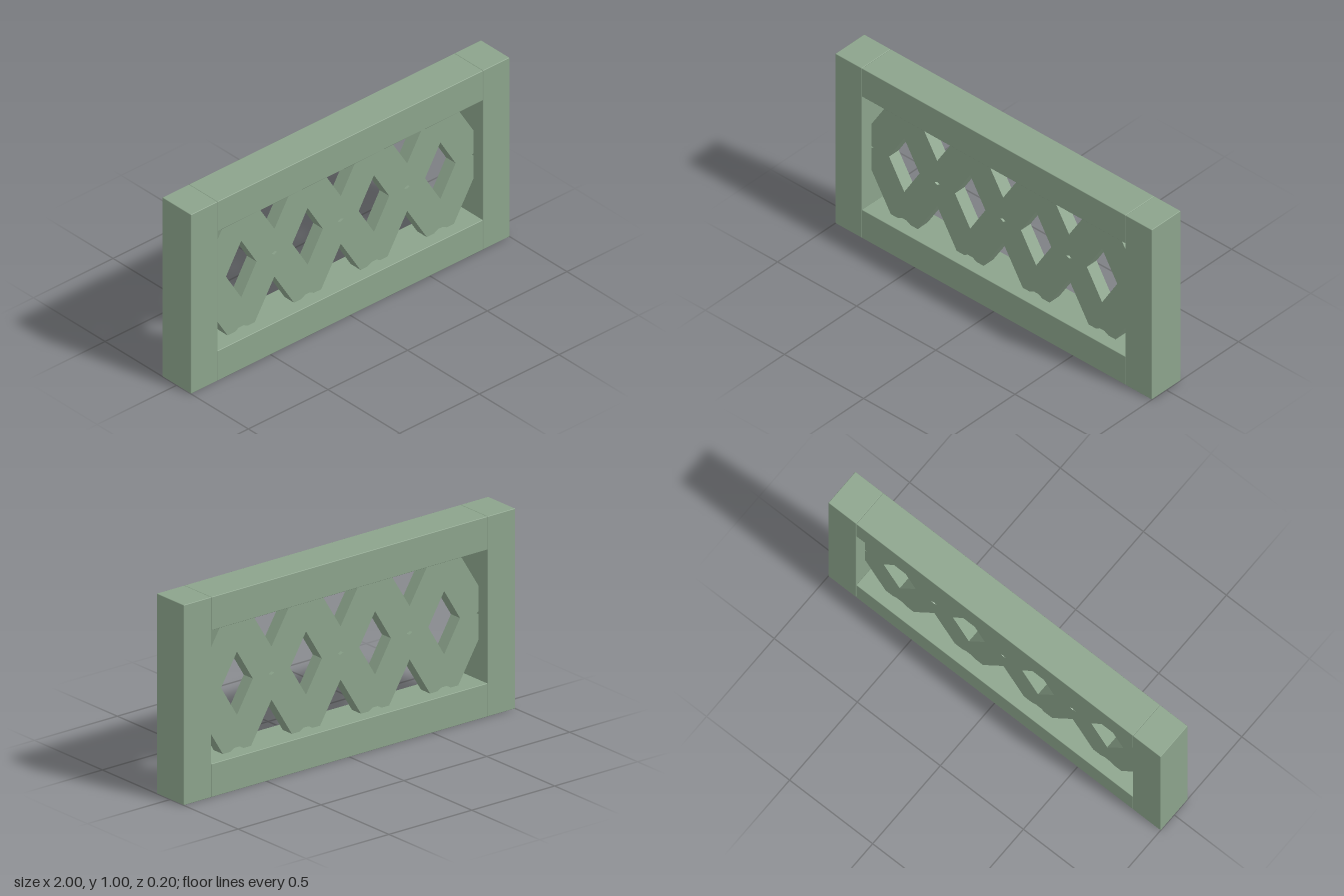
import * as THREE from 'three';
import { RoundedBoxGeometry } from 'three/addons/geometries/RoundedBoxGeometry.js';

const W = 0.8333;   // half width of the opening
const H = 0.3333;   // half height of the opening
const BAR = 1 / 6;  // thickness of the frame timbers
const CELLS = 4;
const CELL = (2 * W) / CELLS;

export function createModel() {
  const group = new THREE.Group();
  group.name = 'latticePanel';
  const sage = new THREE.MeshStandardMaterial({ color: 0x8ba38b });
  sage.name = 'sageGreen';

  const add = (name, geometry, x, y) => {
    const mesh = new THREE.Mesh(geometry, sage);
    mesh.name = name;
    mesh.position.set(x, y, 0);
    group.add(mesh);
  };

  // Frame: two full-height posts with rails between them, edges barely eased
  for (const [side, s] of [['left', 1], ['right', -1]]) {
    add(side + 'Post', new RoundedBoxGeometry(BAR, 1, 0.2, 1, 0.003), s * (1 - BAR / 2), 0.5);
  }
  for (const [name, y] of [['bottomRail', BAR / 2], ['topRail', 1 - BAR / 2]]) {
    add(name, new RoundedBoxGeometry(2 * W, BAR, 0.2, 1, 0.003), 0, y);
  }

  // Upper lattice outline, left to right: each crossing ends in a notched top
  const upper = [];
  for (let i = 0; i < CELLS; i++) {
    const cx = -W + CELL * (i + 0.5);
    upper.push([cx - CELL / 2, 0.133], [cx - 0.085, H], [cx - 0.04, H], [cx - 0.015, H - 0.014],
      [cx + 0.015, H - 0.014], [cx + 0.04, H], [cx + 0.085, H]);
  }
  // Right end with its half slit
  upper.push([W, 0.133], [W, 0.008], [W - 0.016, 0], [W, -0.008]);
  // The lower outline is the upper one turned half way round
  const outline = [...upper, ...upper.map(([x, y]) => [-x, -y])];
  const lattice = new THREE.Shape(outline.map(([x, y]) => new THREE.Vector2(x, y)));

  // Diamond openings in the cells, small slits where the cells meet
  const diamond = (cx, rx, ry) => lattice.holes.push(new THREE.Path([
    new THREE.Vector2(cx + rx, 0), new THREE.Vector2(cx, ry),
    new THREE.Vector2(cx - rx, 0), new THREE.Vector2(cx, -ry),
  ]));
  for (let i = 0; i < CELLS; i++) {
    diamond(-W + CELL * (i + 0.5), 0.096, 0.158);
    if (i > 0) diamond(-W + CELL * i, 0.017, 0.009);
  }

  const depth = 0.067;
  const geometry = new THREE.ExtrudeGeometry(lattice, { depth, bevelEnabled: false });
  geometry.translate(0, 0, -depth / 2);
  add('lattice', geometry, 0, 0.5);

  return group;
}
